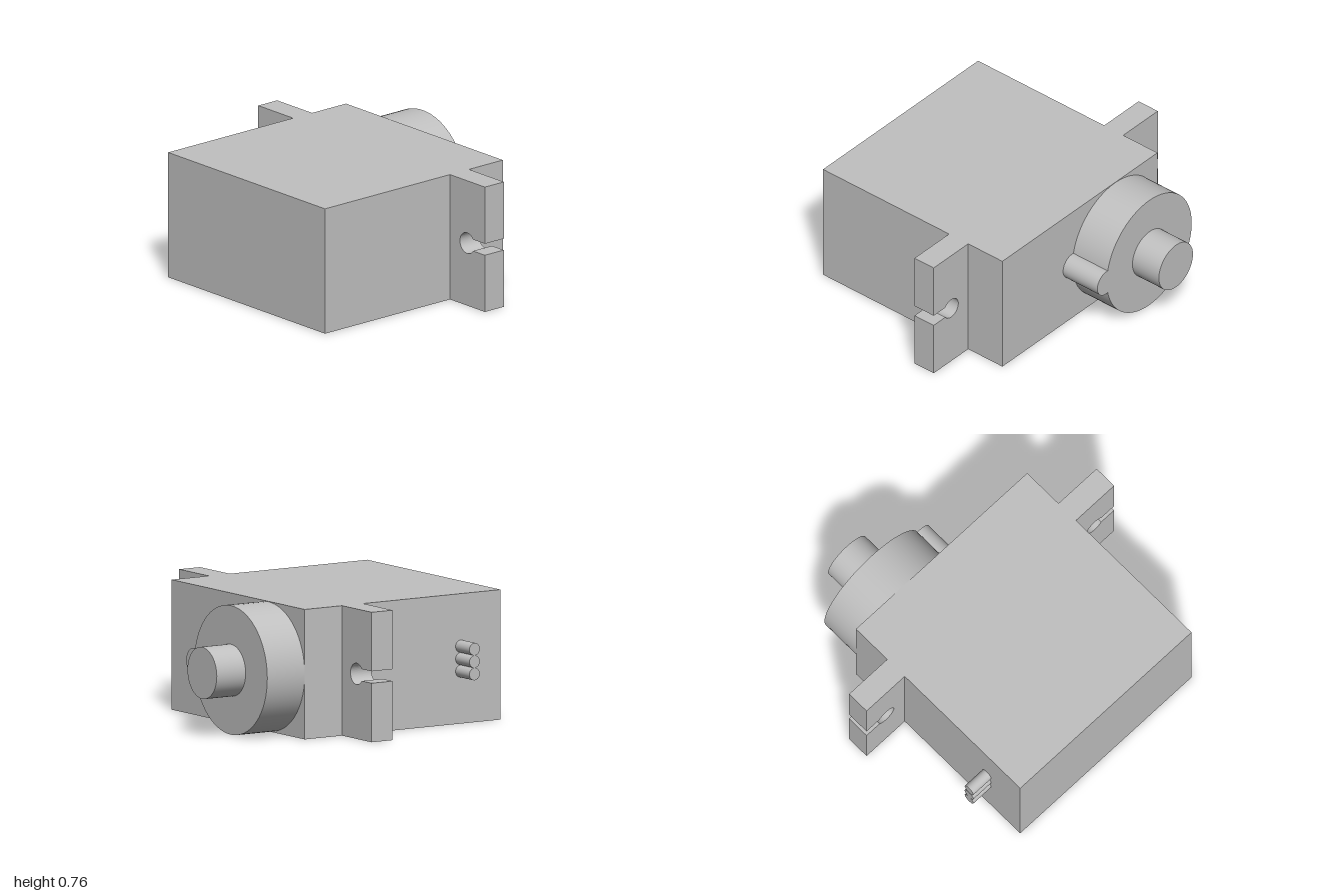
import * as THREE from 'three';

const H = 0.763, MID = H / 2, BODY_X = 0.692, BACK = -0.455, FRONT = 0.915;

export function createModel() {
  const model = new THREE.Group();
  model.name = 'servoMotor';
  const grey = new THREE.MeshStandardMaterial({ color: 0xc0c0c0 });
  grey.name = 'grey plastic';

  const add = (name, geometry, x, y, z) => {
    const mesh = new THREE.Mesh(geometry, grey);
    mesh.name = name;
    mesh.position.set(x, y, z);
    model.add(mesh);
    return mesh;
  };
  // Cylinder lying along z between two depths
  const zCylinder = (name, r, x, z0, z1) =>
    add(name, new THREE.CylinderGeometry(r, r, z1 - z0, 64).rotateX(Math.PI / 2), x, MID, (z0 + z1) / 2);

  // Main case
  add('body', new THREE.BoxGeometry(2 * BODY_X, H, FRONT - BACK), 0, MID, (FRONT + BACK) / 2);

  // Mounting ears with a keyhole slot open at the outer edge
  const holeX = 0.843, holeR = 0.063, slot = 0.035;
  const a = Math.asin(slot / holeR);
  const ear = new THREE.Shape();
  ear.moveTo(BODY_X, 0);
  ear.lineTo(1, 0);
  ear.lineTo(1, MID - slot);
  ear.lineTo(holeX + holeR * Math.cos(a), MID - slot);
  ear.absarc(holeX, MID, holeR, 2 * Math.PI - a, a, true);
  ear.lineTo(1, MID + slot);
  ear.lineTo(1, H);
  ear.lineTo(BODY_X, H);
  ear.closePath();
  const earGeometry = new THREE.ExtrudeGeometry(ear, { depth: 0.146, bevelEnabled: false, curveSegments: 40 });
  add('leftEar', earGeometry, 0, 0, -0.194);
  // The ear is symmetric about its mid depth, so a half turn mirrors it
  add('rightEar', earGeometry, 0, 0, -0.048).rotation.y = Math.PI;

  // Gear housing, its small side boss and the output shaft
  zCylinder('gearHousing', 0.379, -0.313, -0.717, BACK);
  zCylinder('sideBoss', 0.08, 0.07, -0.717, BACK);
  zCylinder('outputShaft', 0.152, -0.315, -0.919, -0.717);

  // Three cable leads on the right side
  for (const i of [-1, 0, 1]) {
    const lead = new THREE.CylinderGeometry(0.0365, 0.0365, 0.144, 32).rotateZ(Math.PI / 2);
    add('cableLead', lead, -BODY_X - 0.072, MID + i * 0.073, 0.637);
  }
  return model;
}
